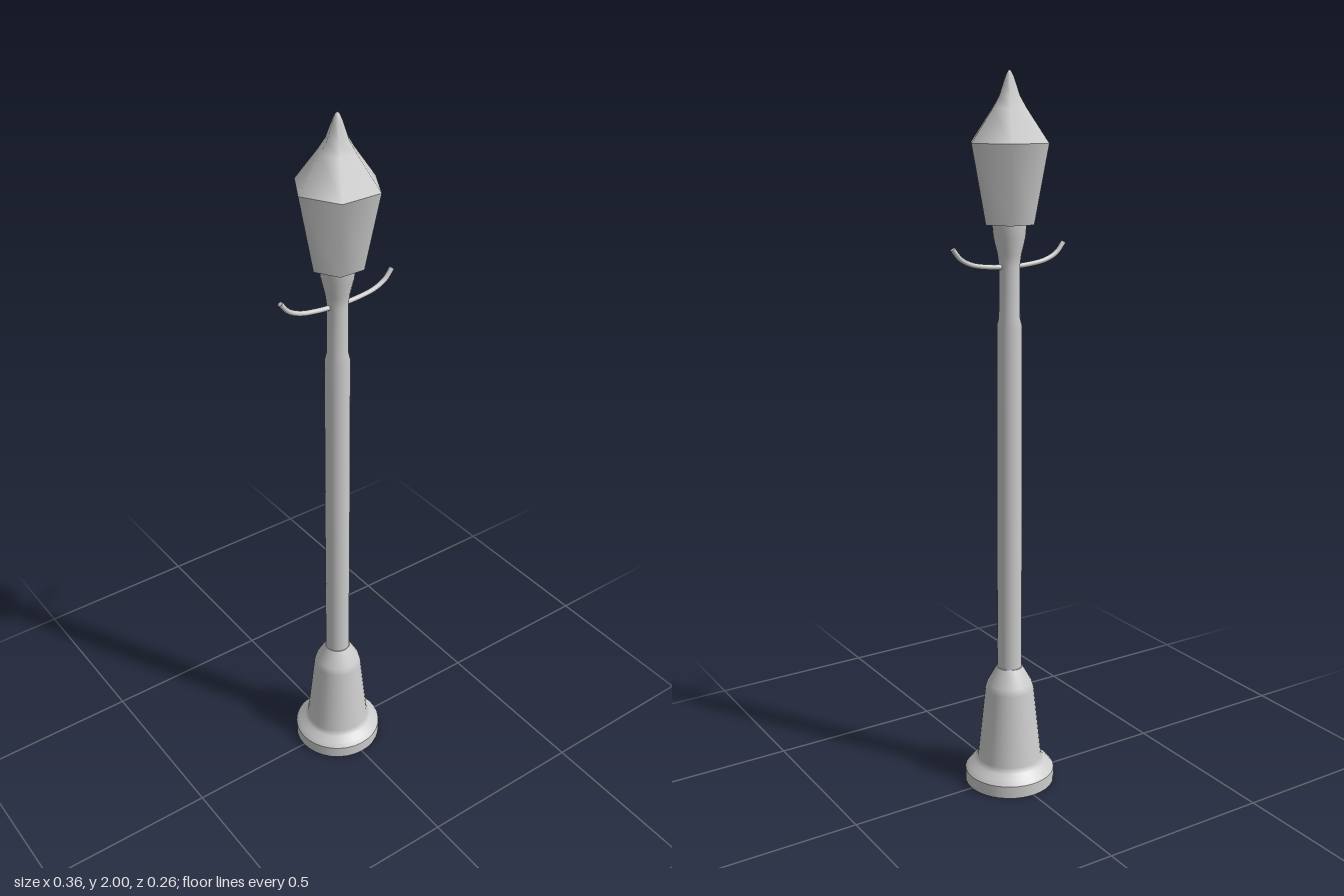
import * as THREE from 'three';

const metal = new THREE.MeshStandardMaterial({ color: 0xcccccc });
metal.name = 'light grey metal';

// Turned part from [radius, height] pairs; a repeated pair makes a sharp edge
function turned(name, profile, sides) {
  const points = profile.map(([r, y]) => new THREE.Vector2(r, y));
  const mesh = new THREE.Mesh(new THREE.LatheGeometry(points, sides, Math.PI / 2), metal);
  mesh.name = name;
  return mesh;
}

export function createModel() {
  const group = new THREE.Group();
  group.name = 'streetLamp';

  // Flared foot with a rounded plinth
  group.add(turned('base', [
    [0, 0], [0.129, 0], [0.129, 0], [0.129, 0.036], [0.129, 0.036],
    [0.118, 0.05], [0.102, 0.061], [0.092, 0.075], [0.07, 0.285],
    [0.064, 0.305], [0.037, 0.353], [0.037, 0.353], [0, 0.353],
  ], 32));

  // Slender post, narrowing and then opening into a collar
  group.add(turned('post', [
    [0.035, 0.34], [0.035, 0.8], [0.034, 1.34], [0.029, 1.36], [0.028, 1.5],
    [0.032, 1.53], [0.043, 1.575], [0.046, 1.61],
  ], 24));

  // Six-sided lantern with a concave pointed roof
  group.add(turned('lantern', [
    [0, 1.61], [0.073, 1.61], [0.073, 1.61], [0.115, 1.818], [0.115, 1.818],
    [0.05, 1.905], [0.031, 1.935], [0.013, 1.982], [0.006, 1.995], [0, 2],
  ], 6));

  // Upswept crossbars on both sides, with closed tips
  for (const side of [1, -1]) {
    const curve = new THREE.CatmullRomCurve3([
      [0, 1.497], [0.06, 1.5], [0.115, 1.509], [0.15, 1.526], [0.173, 1.553],
    ].map(([x, y]) => new THREE.Vector3(side * x, y, 0)));
    const arm = new THREE.Mesh(new THREE.TubeGeometry(curve, 20, 0.007, 10), metal);
    arm.name = side > 0 ? 'leftCrossbar' : 'rightCrossbar';
    const tip = new THREE.Mesh(new THREE.CircleGeometry(0.007, 10), metal);
    tip.name = 'crossbarTip';
    tip.position.copy(curve.getPoint(1));
    tip.quaternion.setFromUnitVectors(new THREE.Vector3(0, 0, 1), curve.getTangent(1));
    arm.add(tip);
    group.add(arm);
  }
  return group;
}
